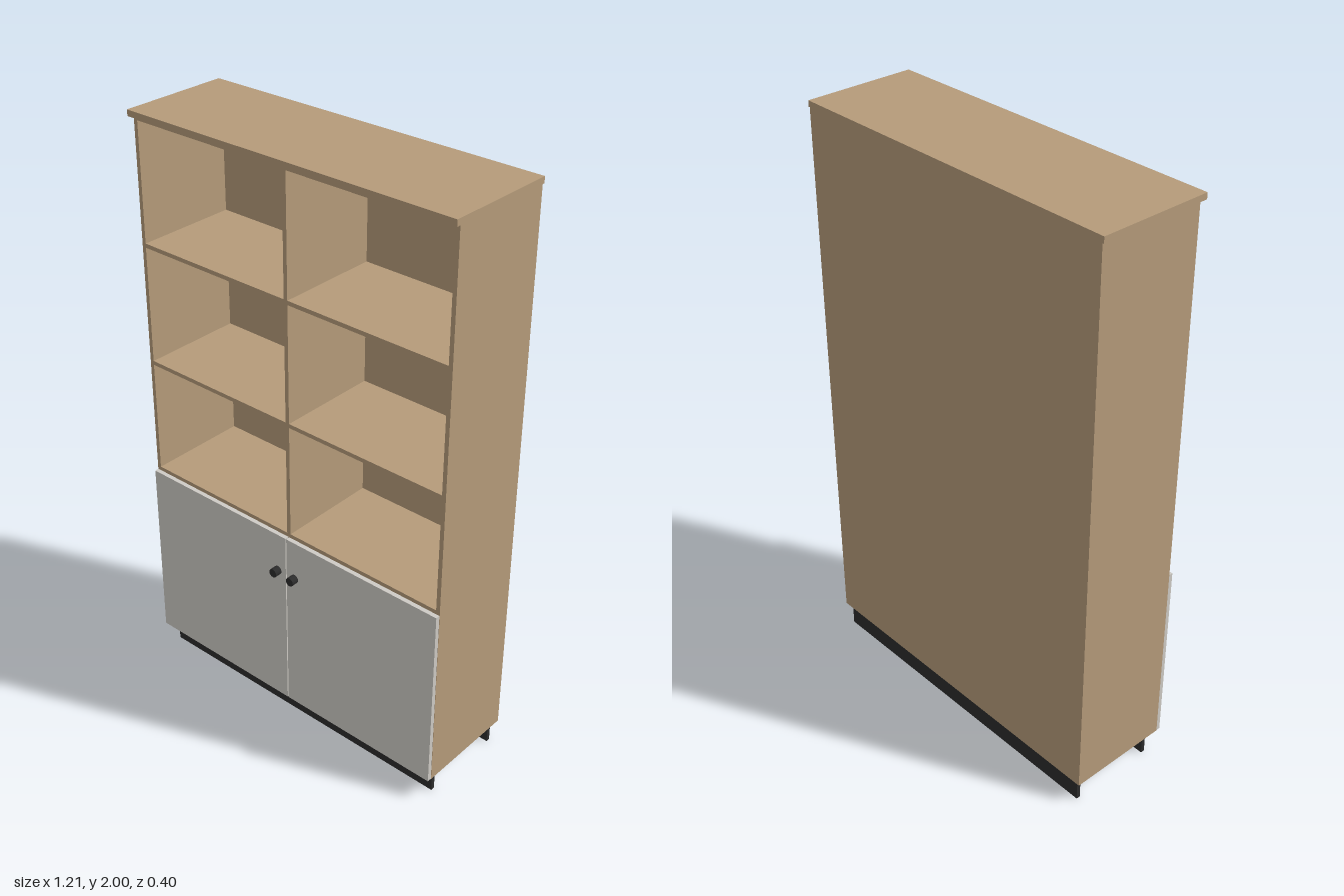
import * as THREE from 'three';

export function createModel() {
  const model = new THREE.Group();
  const wood = new THREE.MeshStandardMaterial({ color: 0xb59b7a });
  const paint = new THREE.MeshStandardMaterial({ color: 0xcecbc5 });
  const black = new THREE.MeshStandardMaterial({ color: 0x2b2b2b });

  // Box given by its min and max on each axis
  function board(name, material, [x0, x1], [y0, y1], [z0, z1]) {
    const mesh = new THREE.Mesh(new THREE.BoxGeometry(x1 - x0, y1 - y0, z1 - z0), material);
    mesh.position.set((x0 + x1) / 2, (y0 + y1) / 2, (z0 + z1) / 2);
    mesh.name = name;
    model.add(mesh);
  }

  const back = -0.2, front = 0.16, base = 0.085, roof = 1.98;
  const t = 0.014; // board thickness
  const inner = 0.6 - t;
  const depth = [back, front];
  const shelfDepth = [back + 0.008, front];

  // Carcass
  board('topBoard', wood, [-0.605, 0.605], [roof, 2], [back, 0.18]);
  board('upperPanel', wood, [-inner, inner], [roof - t, roof], depth);
  board('bottomPanel', wood, [-inner, inner], [base, base + t], depth);
  board('backPanel', wood, [-inner, inner], [base + t, roof - t], [back, back + 0.008]);
  board('divider', wood, [-t / 2, t / 2], [base + t, roof - t], shelfDepth);

  for (const side of [-1, 1]) {
    const label = side > 0 ? 'left' : 'right';
    const span = (a, b) => [side * a, side * b].sort((p, q) => p - q);

    board(label + 'SidePanel', wood, span(inner, 0.6), [base, roof], depth);

    // Shelves of one bay
    for (const y of [0.74, 1.146, 1.558])
      board(label + 'Shelf', wood, span(t / 2, inner), [y, y + t], shelfDepth);

    // Door with a round knob
    board(label + 'Door', paint, span(0.002, 0.599), [base, 0.74], [front, 0.175]);
    const knob = new THREE.Mesh(new THREE.CylinderGeometry(0.015, 0.015, 0.025, 32), black);
    knob.rotation.x = Math.PI / 2;
    knob.position.set(side * 0.036, 0.602, 0.1875);
    knob.name = label + 'Knob';
    model.add(knob);
  }

  // Plinth boards
  board('frontPlinth', black, [-0.58, 0.58], [0, base], [0.114, 0.128]);
  board('backPlinth', black, [-0.58, 0.58], [0, base], [-0.186, -0.172]);

  return model;
}
